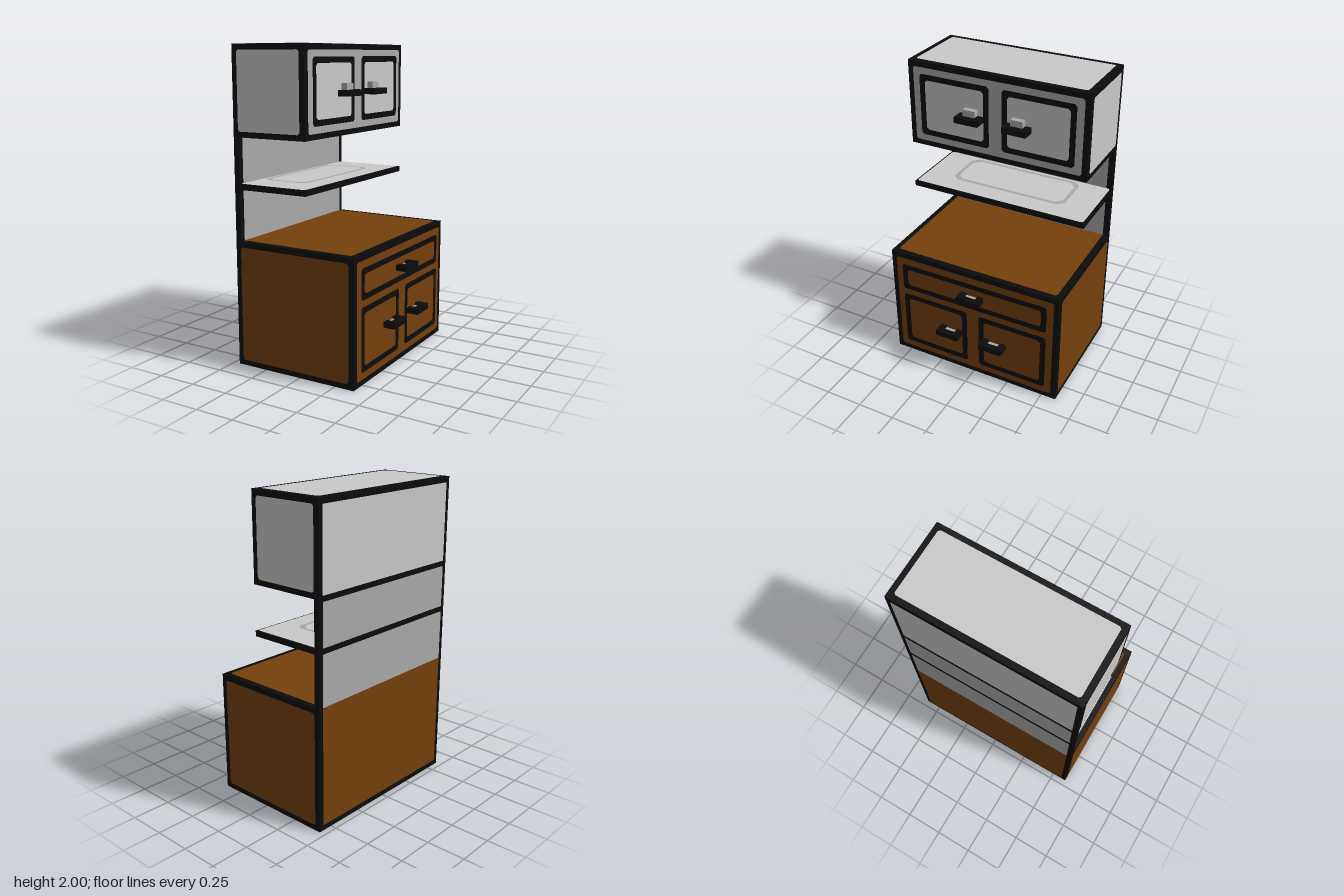
import * as THREE from 'three';

export function createModel() {
  const mat = (name, color, side = THREE.FrontSide) => {
    const m = new THREE.MeshStandardMaterial({ color, side });
    m.name = name;
    return m;
  };
  const black = mat('blackTrim', 0x0c0c0c, THREE.DoubleSide);
  const brown = mat('brownWood', 0x74400c);
  const light = mat('lightGrey', 0xc9c9c9, THREE.DoubleSide);
  const mid = mat('midGrey', 0xa9a9a9, THREE.DoubleSide);
  const group = new THREE.Group();
  const B = 0.035; // trim width

  const add = (name, geo, m) => {
    const mesh = new THREE.Mesh(geo, m);
    mesh.name = name;
    group.add(mesh);
    return mesh;
  };

  // box from min/max extents, optionally without its bottom
  function box(name, m, x0, x1, y0, y1, z0, z1, openBottom = false) {
    const g = new THREE.BoxGeometry(x1 - x0, y1 - y0, z1 - z0);
    if (openBottom) {
      const idx = Array.from(g.index.array);
      idx.splice(18, 6);
      g.setIndex(idx);
      g.clearGroups();
    }
    g.translate((x0 + x1) / 2, (y0 + y1) / 2, (z0 + z1) / 2);
    return add(name, g, m);
  }

  // rectangle with clipped corners
  function outline(path, [u0, u1, v0, v1], c) {
    path.moveTo(u0 + c, v0);
    [[u1 - c, v0], [u1, v0 + c], [u1, v1 - c], [u1 - c, v1],
      [u0 + c, v1], [u0, v1 - c], [u0, v0 + c]].forEach(([u, v]) => path.lineTo(u, v));
    path.closePath();
    return path;
  }

  // thin face: u, v are x/y, z/y or x/z depending on the side it faces
  const facing = {
    front: (g, d) => g.rotateY(Math.PI / 2).translate(d, 0, 0),   // +x, u = -z
    back: (g, d) => g.rotateY(-Math.PI / 2).translate(d, 0, 0),   // -x, u = z
    left: (g, d) => g.translate(0, 0, d),                         // +z, u = x
    right: (g, d) => g.rotateY(Math.PI).translate(0, 0, d),       // -z, u = -x
    up: (g, d) => g.rotateX(-Math.PI / 2).translate(0, d, 0),     // v = -z
    down: (g, d) => g.rotateX(Math.PI / 2).translate(0, d, 0),    // v = z
  };
  function face(name, m, dir, d, rect, c = 0.012, hole = null) {
    const s = outline(new THREE.Shape(), rect, c);
    if (hole) s.holes.push(outline(new THREE.Path(), hole, c));
    return add(name, facing[dir](new THREE.ShapeGeometry(s), d), m);
  }
  const inset = ([a, b, c, d], t) => [a + t, b - t, c + t, d - t];
  const E = 0.002;

  // side, front and top panels of a cabinet
  function panels(name, sideMat, frontMat, x1, y0, y1) {
    const s = [-0.46 + B, x1 - B, y0 + B, y1 - B];
    face(name + 'LeftPanel', sideMat, 'left', 0.6 + E, s);
    face(name + 'RightPanel', sideMat, 'right', -0.6 - E, [-s[1], -s[0], s[2], s[3]]);
    face(name + 'FrontPanel', frontMat, 'front', x1 + E, [-0.565, 0.565, s[2], s[3]]);
    face(name + 'TopPanel', sideMat, 'up', y1 + E, [s[0], s[1], -0.565, 0.565]);
  }

  // door or drawer: fill plus black moulding
  function door(name, fill, x, rect) {
    face(name + 'Fill', fill, 'front', x + 2 * E, inset(rect, 0.015));
    face(name + 'Moulding', black, 'front', x + 3 * E, rect, 0.015, inset(rect, 0.037));
  }

  // U-shaped pull
  function handle(name, x, depth, y, z) {
    const y0 = y - 0.019, y1 = y + 0.019;
    for (const s of [-1, 1]) {
      const c = z + s * 0.06;
      box(name + 'Arm', black, x, x + depth - 0.04, y0, y1, c - 0.02, c + 0.02);
    }
    box(name + 'Bar', black, x + depth - 0.04, x + depth, y0, y1, z - 0.08, z + 0.08);
  }

  // lower cabinet
  box('lowerCabinet', black, -0.46, 0.38, 0, 0.8, -0.6, 0.6);
  panels('lower', brown, brown, 0.38, 0, 0.8);
  door('drawer', brown, 0.38, [-0.52, 0.52, 0.525, 0.72]);
  handle('drawerHandle', 0.38, 0.08, 0.624, 0);
  box('drawerHandleInsert', mid, 0.38, 0.42, 0.62, 0.628, -0.04, 0.04);

  // back panel and shelf
  box('backPanel', black, -0.46, -0.425, 0.8, 1.445, -0.6, 0.6);
  face('backInnerLower', mid, 'front', -0.425 + E, [-0.565, 0.565, 0.8, 1.125], 0.001);
  face('backInnerUpper', mid, 'front', -0.425 + E, [-0.565, 0.565, 1.16, 1.445], 0.001);
  box('shelf', black, -0.425, 0.055, 1.125, 1.16, -0.6, 0.6);
  for (const [dir, y, s] of [['up', 1.16, 1], ['down', 1.125, -1]]) {
    face('shelfPanel', light, dir, y + s * E, [-0.423, 0.045, -0.59, 0.59]);
    const r = [-0.4, -0.08, -0.4, 0.4];
    face('shelfInlay', mid, dir, y + s * 2 * E, r, 0.04, inset(r, 0.025));
  }

  // outside of the back
  const backs = [[brown, B, 0.8], [mid, 0.8, 1.125], [mid, 1.16, 1.43], [light, 1.465, 1.965]];
  backs.forEach(([m, y0, y1]) =>
    face('rearPanel', m, 'back', -0.46 - E, [-0.57, 0.57, y0, y1], 0.004));

  // upper cabinet, hollow and open underneath
  box('upperCabinet', black, -0.46, 0.055, 1.445, 2, -0.6, 0.6, true);
  box('upperLiner', light, -0.455, 0.05, 1.475, 1.995, -0.595, 0.595, true);
  panels('upper', light, mid, 0.055, 1.445, 2);

  // paired doors with handles
  for (const s of [-1, 1]) {
    const u = s > 0 ? [0.043, 0.52] : [-0.52, -0.043];
    door('lowerDoor', brown, 0.38, [...u, 0.08, 0.483]);
    door('upperDoor', light, 0.055, [...u, 1.523, 1.925]);
    const z = s * 0.16;
    handle('lowerDoorHandle', 0.38, 0.08, 0.3, z);
    box('lowerHandleInsert', mid, 0.38, 0.42, 0.296, 0.304, z - 0.04, z + 0.04);
    handle('upperDoorHandle', 0.055, 0.085, 1.706, z);
    box('upperHandleBlock', mid, 0.06, 0.098, 1.722, 1.765, z - 0.04, z + 0.04, true);
  }
  return group;
}
